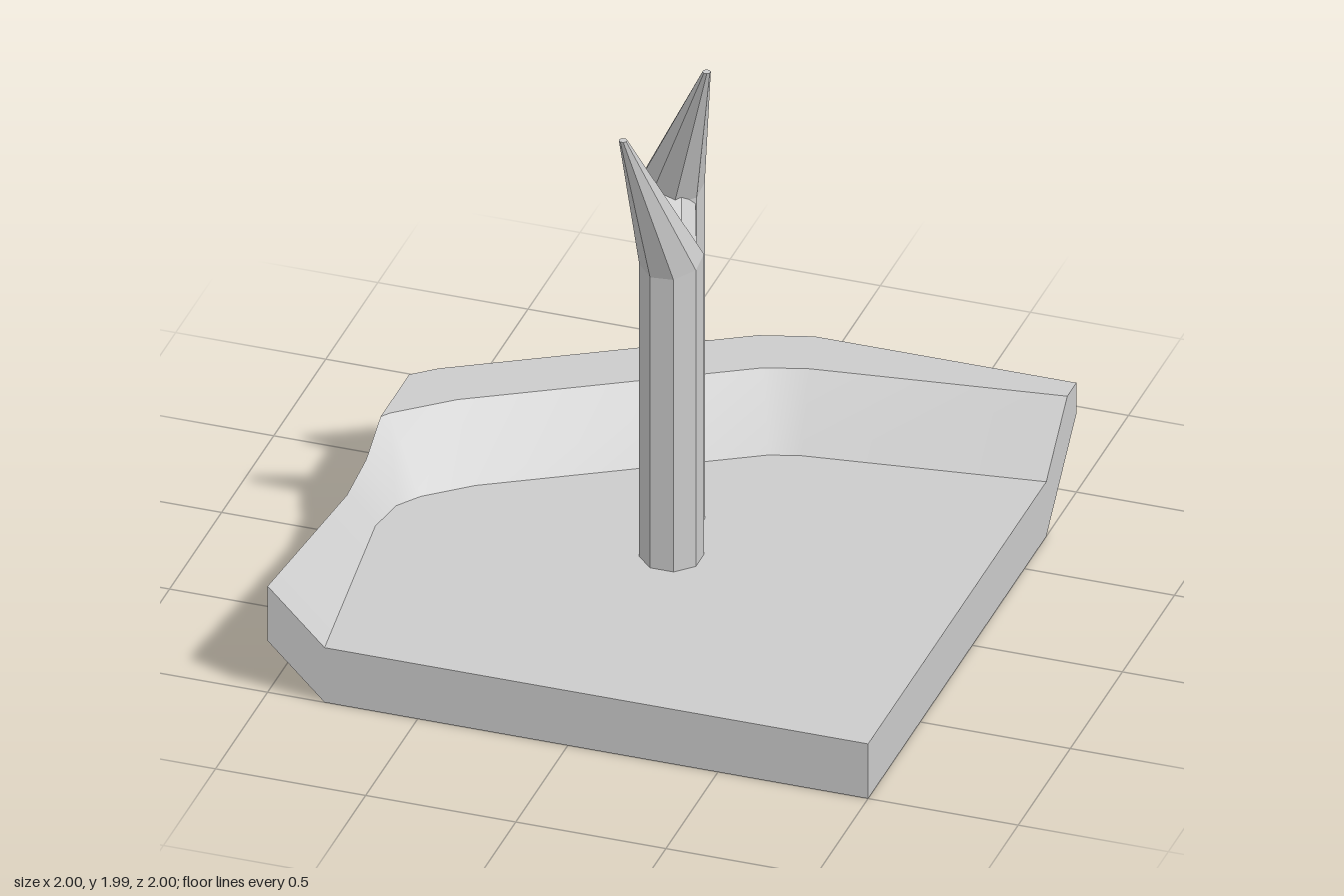
import * as THREE from 'three';
import { toCreasedNormals } from 'three/addons/utils/BufferGeometryUtils.js';

const stone = new THREE.MeshStandardMaterial({ color: 0xcccccc });
stone.name = 'grey stone';
const facetedStone = stone.clone();
facetedStone.flatShading = true;

// Keep the part of a convex polygon where sign * p[axis] <= 1
function clip(poly, axis, sign) {
  const out = [];
  poly.forEach((a, i) => {
    const b = poly[(i + 1) % poly.length];
    const da = sign * a[axis] - 1, db = sign * b[axis] - 1;
    if (da <= 0) out.push(a);
    if (da * db < 0) {
      const p = a.map((v, k) => v + (b[k] - v) * (da / (da - db)));
      p[axis] = sign;
      out.push(p);
    }
  });
  return out;
}

// Tray: a floor slab whose back and right edges flare up at 45 degrees, trimmed to a square.
// Plan points are [x, z, d], d being the distance outside the floor outline.
function trayGeometry() {
  const outline = [[1.5, -0.775], [0.22, -0.61], [0.12, -0.58], [-0.69, -0.1], [-0.83, 0.02],
    [-0.885, 0.1], [-0.905, 0.24], [-0.748, 1.5]];
  const normals = outline.slice(1).map((b, i) => {
    const dx = b[0] - outline[i][0], dz = b[1] - outline[i][1], l = Math.hypot(dx, dz);
    return [-dz / l, dx / l];
  });
  const offset = (i, d) => {
    const m = normals[Math.max(i - 1, 0)], n = normals[Math.min(i, normals.length - 1)];
    const k = d / (1 + m[0] * n[0] + m[1] * n[1]);
    return [outline[i][0] + (m[0] + n[0]) * k, outline[i][1] + (m[1] + n[1]) * k, d];
  };

  // Floor, then sloped strip and flat rim strip along each outline segment
  const regions = [[...outline.map((p) => [...p, 0]), [1.5, 1.5, 0]]];
  for (let i = 0; i < normals.length; i++) {
    for (const d of [0, 0.2]) {
      regions.push([offset(i, d + 0.2), offset(i + 1, d + 0.2), offset(i + 1, d), offset(i, d)]);
    }
  }

  const pos = [];
  const top = (p) => [p[0], Math.min(0.2 + p[2], 0.4), p[1]];
  const bottom = (p) => [p[0], p[2], p[1]];
  const fan = (pts) => {
    for (let i = 1; i < pts.length - 1; i++) pos.push(...pts[0], ...pts[i], ...pts[i + 1]);
  };
  for (const region of regions) {
    let poly = region;
    for (const axis of [0, 1]) for (const sign of [-1, 1]) poly = clip(poly, axis, sign);
    if (poly.length < 3) continue;
    fan(poly.map(top));
    fan(poly.map(bottom).reverse());
    // Vertical walls where the region meets the square
    poly.forEach((a, i) => {
      const b = poly[(i + 1) % poly.length];
      const onEdge = [0, 1].some((k) => Math.abs(a[k]) > 0.99999 && Math.abs(a[k] - b[k]) < 1e-6);
      if (onEdge) fan([bottom(a), bottom(b), top(b), top(a)]);
    });
  }
  const geo = new THREE.BufferGeometry();
  geo.setAttribute('position', new THREE.Float32BufferAttribute(pos, 3));
  return toCreasedNormals(geo, 0.5);
}

// Octagonal post with a mitred bend into a long leaning spike
function spikedPost(name, x, z, bendY, tip) {
  const geo = new THREE.CylinderGeometry(0.102, 0.102, 1, 8, 2, false, Math.PI / 8);
  const bend = new THREE.Vector3(x, bendY, z);
  const mitre = tip.clone().sub(bend).normalize();
  mitre.y += 1;
  const p = geo.attributes.position;
  for (let i = 0; i < p.count; i++) {
    const dx = p.getX(i), dz = p.getZ(i), level = p.getY(i);
    if (level < -0.1) p.setXYZ(i, x + dx, 0.2, z + dz);
    else if (level < 0.1) p.setXYZ(i, x + dx, bendY - (mitre.x * dx + mitre.z * dz) / mitre.y, z + dz);
    else p.setXYZ(i, tip.x + dx * 0.13, tip.y, tip.z + dz * 0.13);
  }
  geo.computeVertexNormals();
  const mesh = new THREE.Mesh(geo, facetedStone);
  mesh.name = name;
  return mesh;
}

// Straight faceted brace between two points
function brace(name, a, b, radius, sides) {
  const dir = b.clone().sub(a);
  const mesh = new THREE.Mesh(new THREE.CylinderGeometry(radius, radius, dir.length(), sides), facetedStone);
  mesh.position.copy(a).add(b).multiplyScalar(0.5);
  mesh.quaternion.setFromUnitVectors(new THREE.Vector3(0, 1, 0), dir.normalize());
  mesh.name = name;
  return mesh;
}

export function createModel() {
  const V = (x, y, z) => new THREE.Vector3(x, y, z);
  const model = new THREE.Group();
  model.name = 'spiked posts on tray';

  const tray = new THREE.Mesh(trayGeometry(), stone);
  tray.name = 'tray';
  model.add(
    tray,
    spikedPost('frontPost', 0.035, 0.105, 1.285, V(-0.045, 1.835, 0.34)),
    spikedPost('backPost', -0.035, -0.105, 1.44, V(0.15, 1.99, 0.1)),
    brace('upperBrace', V(0.03, 1.22, 0.1), V(-0.045, 1.42, -0.1), 0.088, 8),
    brace('lowerBrace', V(0.015, 0.785, 0.105), V(-0.065, 0.575, -0.085), 0.066, 6),
  );
  return model;
}
